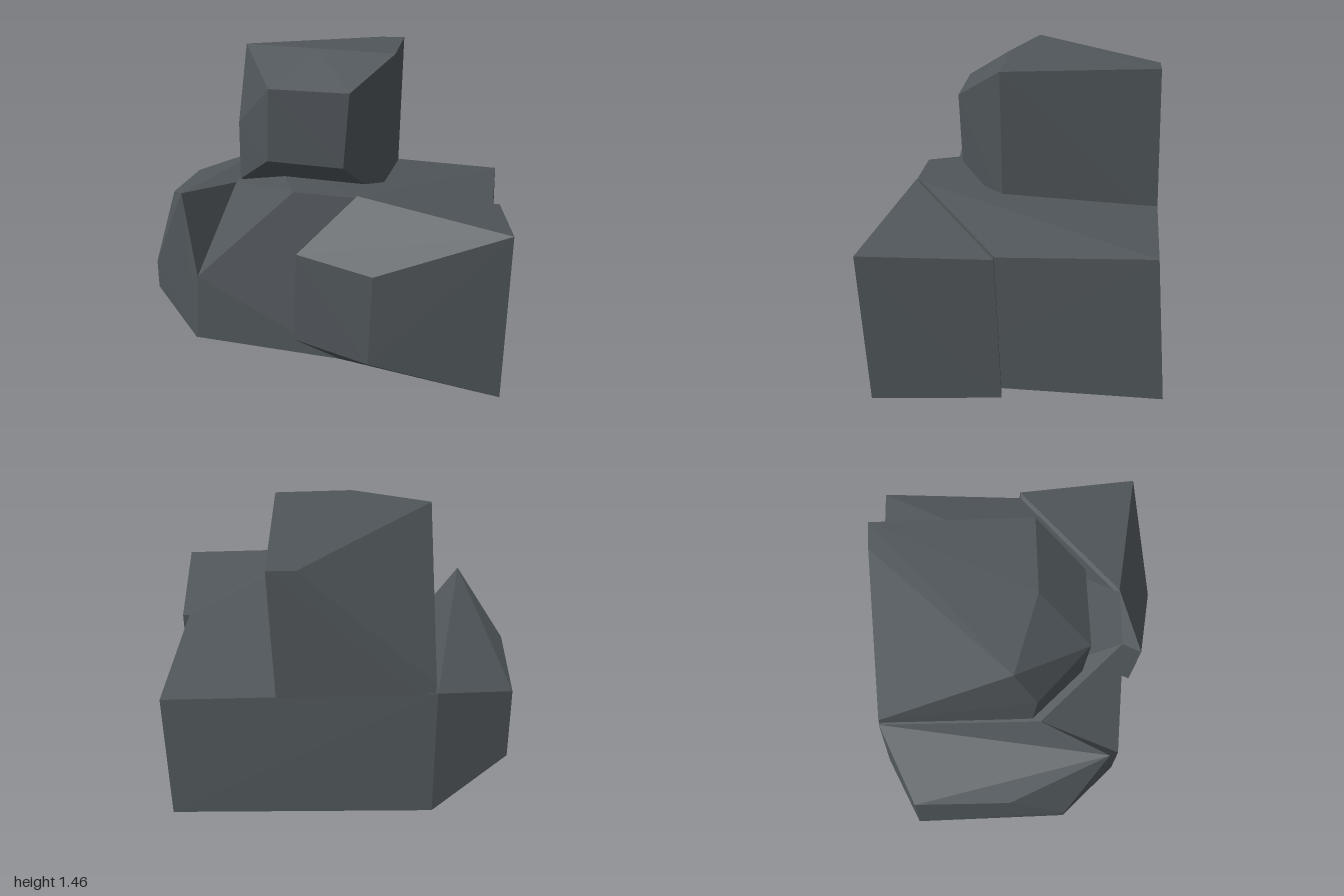
import * as THREE from 'three';
import { ConvexGeometry } from 'three/addons/geometries/ConvexGeometry.js';

const stone = new THREE.MeshStandardMaterial({ color: 0x50565a, flatShading: true });
stone.name = 'dark slate';

// A faceted boulder: the convex hull of its corners
function boulder(name, corners) {
  const mesh = new THREE.Mesh(new ConvexGeometry(corners.map((c) => new THREE.Vector3(...c))), stone);
  mesh.name = name;
  return mesh;
}

export function createModel() {
  const group = new THREE.Group();
  group.name = 'rockPile';

  // Tall boulder on top, with a blunt nose facing the front
  group.add(boulder('topBoulder', [
    [-0.445, 1.46, 0.235], [-0.055, 1.45, 0.225], [0.29, 1.43, 0.105], [0.03, 1.455, -0.585], [-0.09, 1.455, -0.54],
    [-0.16, 1.285, 0.505], [0.19, 1.27, 0.38], [-0.175, 0.95, 0.5], [0.16, 0.925, 0.385],
    [-0.425, 1.09, 0.35], [-0.43, 0.81, 0.34], [0.24, 0.745, 0.125],
    [-0.68, 0.88, -0.345], [-0.68, 0.75, -0.35], [0, 0.7, -0.585],
  ]));

  // Broad base slab
  group.add(boulder('baseSlab', [
    [-0.715, 0.1, -0.36], [0.49, 0.05, -0.8], [0.51, 0.745, -0.76], [-0.69, 0.83, -0.345],
    [-0.43, 0.8, 0.38], [0.05, 0.86, 0.65], [0.31, 0.845, 0.565], [0.86, 0.7, 0.35],
    [-0.375, 0.45, 0.795], [-0.39, 0.155, 0.8], [0.29, 0.13, 0.67], [0.86, 0.06, 0.35],
  ]));

  // Angular shoulder on the model's right
  group.add(boulder('sideShoulder', [
    [-1, 0.315, -0.07], [-0.98, 0.72, -0.07], [-0.83, 0.705, 0.355], [-0.745, 0.42, 0.62], [-0.74, 0.29, 0.62],
    [-0.49, 0.815, 0.74], [-0.375, 0.45, 0.795], [-0.39, 0.155, 0.8], [-0.43, 0.8, 0.38],
    [-0.69, 0.83, -0.345], [-0.715, 0.1, -0.36],
  ]));

  // Block jutting out at the front corner
  group.add(boulder('cornerBlock', [
    [0.125, 0.615, 0.76], [0.47, 0.55, 0.715], [0.45, 0.155, 0.72], [0.1, 0.22, 0.755],
    [0.32, 0.853, 0.56], [1, 0.735, 0.465], [0.96, 0, 0.455], [0.29, 0.13, 0.67],
    [0.755, 0.72, -0.09], [0.745, 0.025, -0.11], [0.15, 0.7, 0.2], [0.15, 0.15, 0.2],
  ]));

  return group;
}
